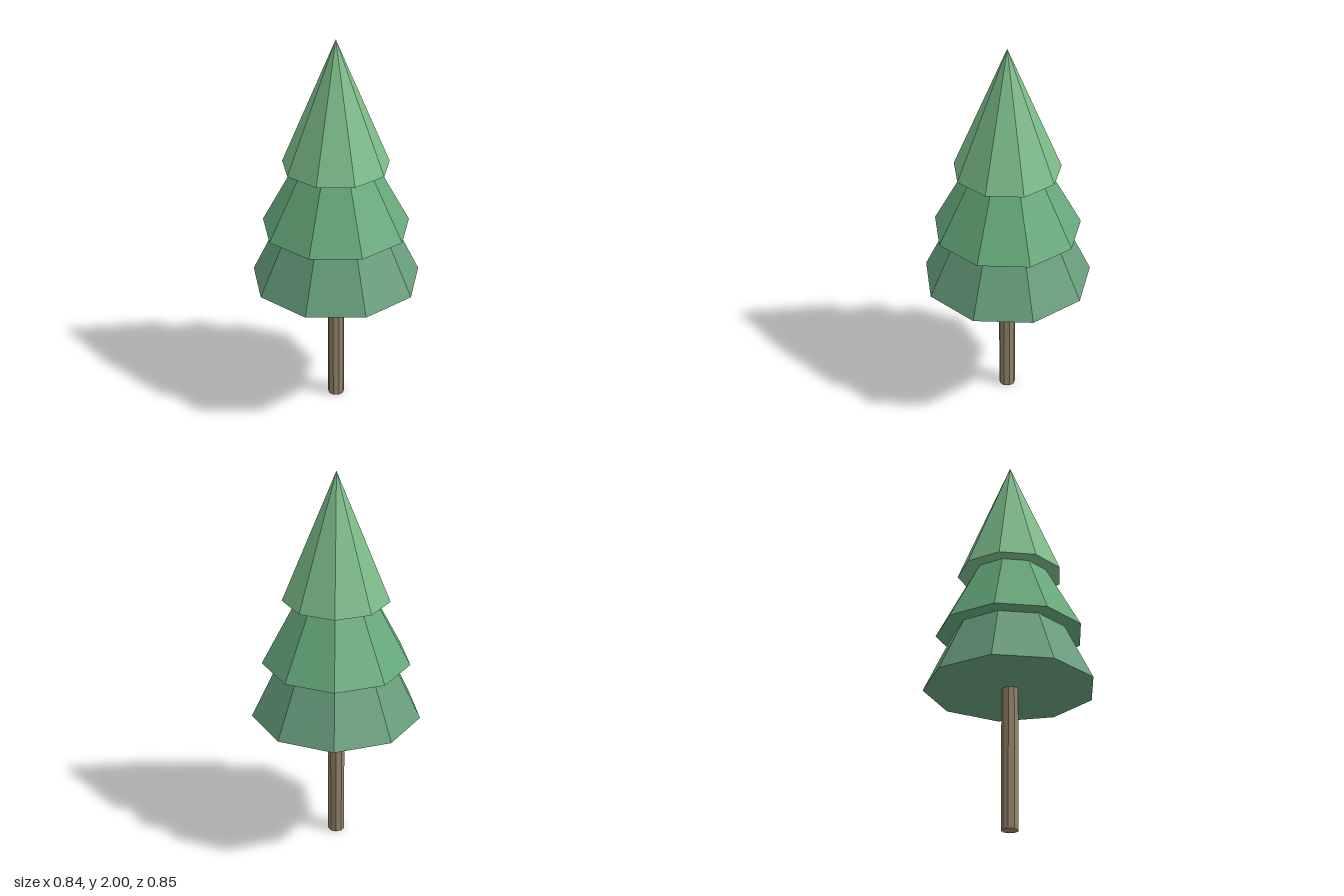
import * as THREE from 'three';

const SIDES = 9;

// Nine-sided solid with one corner pointing towards +x
function prism(name, topRadius, bottomRadius, y0, y1, color) {
  const geometry = new THREE.CylinderGeometry(
    topRadius, bottomRadius, y1 - y0, SIDES, 1, false, Math.PI / 2);
  const material = new THREE.MeshStandardMaterial({ color, flatShading: true });
  const mesh = new THREE.Mesh(geometry, material);
  mesh.name = name;
  mesh.position.y = (y0 + y1) / 2;
  return mesh;
}

export function createModel() {
  const tree = new THREE.Group();
  tree.name = 'pineTree';

  // Trunk, ending just inside the lowest tier
  tree.add(prism('trunk', 0.043, 0.043, 0, 0.73, 0x95836b));

  // Stacked cones of foliage: name, radius, base height, tip height, color
  const tiers = [
    ['lowerFoliage', 0.433, 0.72, 1.62, 0x689f7c],
    ['middleFoliage', 0.376, 1.015, 1.715, 0x66ab7c],
    ['upperFoliage', 0.27, 1.35, 2, 0x7dbc8a],
  ];
  for (const [name, radius, base, tip, color] of tiers) {
    tree.add(prism(name, 0, radius, base, tip, color));
  }

  // Centre the odd-sided outline on x = 0
  for (const part of tree.children) part.position.x = -0.013;
  return tree;
}
